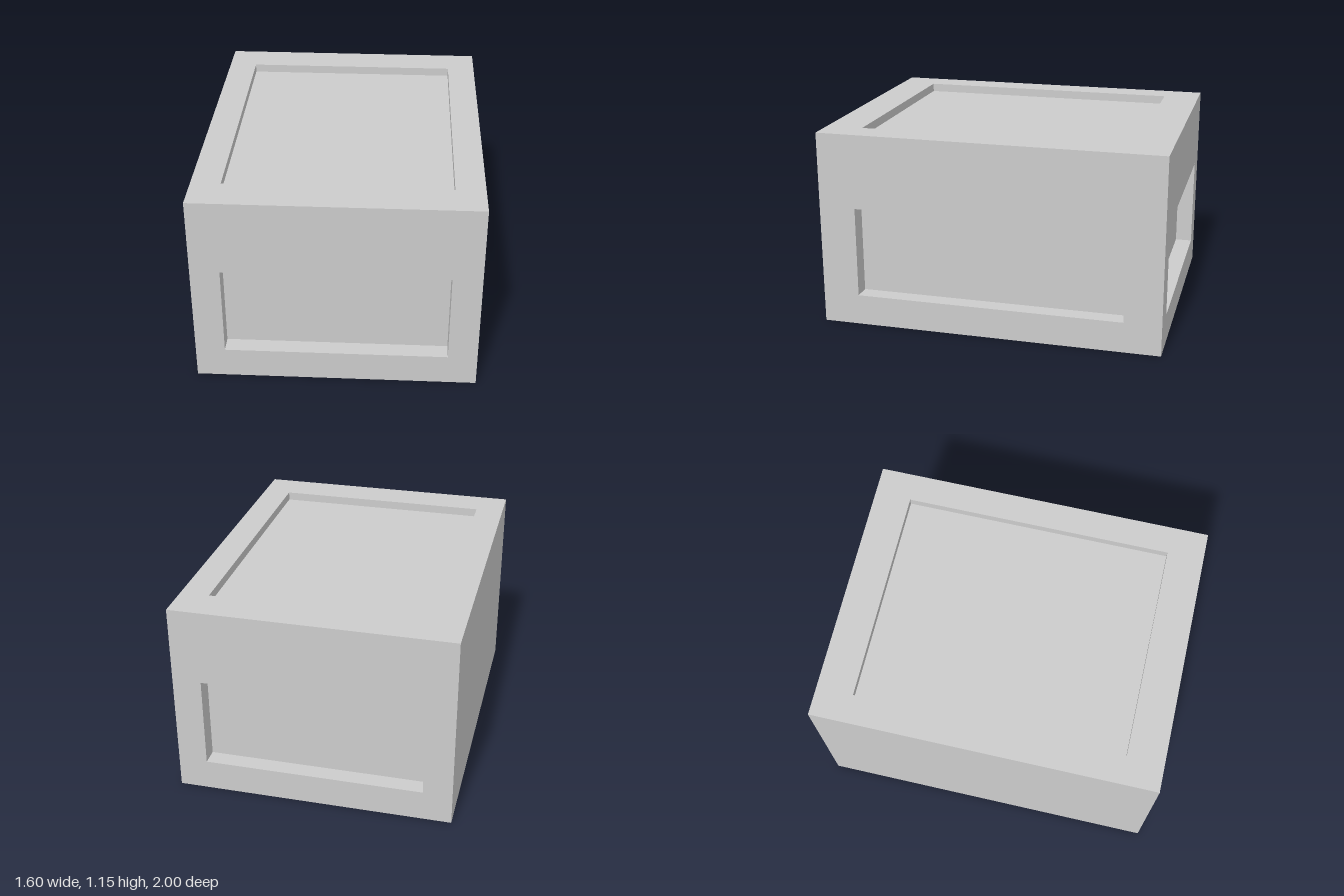
import * as THREE from 'three';

const W = 1.6, H = 1.15, D = 2;
const material = new THREE.MeshStandardMaterial({ color: 0xcccccc, flatShading: true });

// Corners of a rectangle, counter-clockwise, at depth z
const rect = (x, y0, y1, z) => [[-x, y0, z], [x, y0, z], [x, y1, z], [-x, y1, z]];

// Wall facing +z with a rectangular recess: rim, recess sides and floor
function recessedWall(w, h, x, y0, y1, depth) {
  const rings = [rect(w / 2, -h / 2, h / 2, 0), rect(x, y0, y1, 0), rect(x, y0, y1, -depth)];
  const points = [];
  const quad = (a, b, c, d) => points.push(...a, ...b, ...c, ...a, ...c, ...d);
  for (let i = 0; i < 2; i++) {
    for (let j = 0; j < 4; j++) {
      const k = (j + 1) % 4;
      quad(rings[i][j], rings[i][k], rings[i + 1][k], rings[i + 1][j]);
    }
  }
  quad(...rings[2]);
  const geometry = new THREE.BufferGeometry();
  geometry.setAttribute('position', new THREE.Float32BufferAttribute(points, 3));
  geometry.computeVertexNormals();
  return geometry;
}

export function createModel() {
  const group = new THREE.Group();
  group.name = 'recessedCrate';

  const add = (name, geometry, position, rotX = 0, rotY = 0) => {
    const mesh = new THREE.Mesh(geometry, material);
    mesh.name = name;
    mesh.position.set(...position);
    mesh.rotation.set(rotX, rotY, 0);
    group.add(mesh);
  };

  const q = Math.PI / 2, mid = H / 2;
  const low = 0.18 - mid, high = 0.713 - mid;

  // End walls, each with a hand-hold recess
  const endWall = recessedWall(W, H, 0.633, low, high, 0.1);
  add('frontWall', endWall, [0, mid, D / 2]);
  add('backWall', endWall, [0, mid, -D / 2], 0, Math.PI);

  // Long walls: recessed on +x, plain on -x
  add('leftWall', recessedWall(D, H, 0.785, low, high, 0.1), [W / 2, mid, 0], 0, q);
  add('rightWall', new THREE.PlaneGeometry(D, H), [-W / 2, mid, 0], 0, -q);

  // Top with a shallow tray, and a plain base
  add('top', recessedWall(W, D, 0.633, -0.785, 0.785, 0.05), [0, H, 0], -q);
  add('base', new THREE.PlaneGeometry(W, D), [0, 0, 0], q);

  return group;
}
